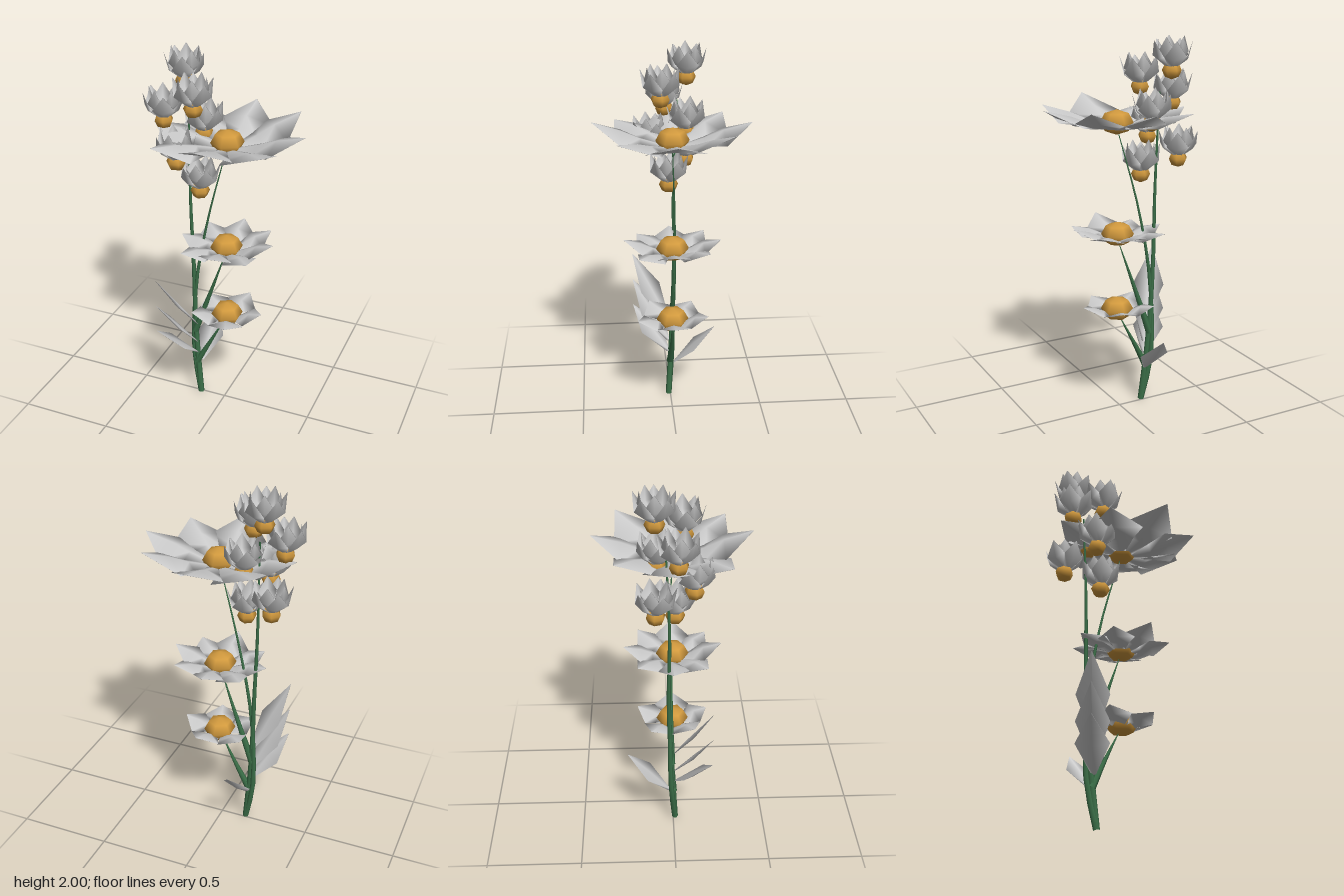
import * as THREE from 'three';

const grey = new THREE.MeshStandardMaterial({ color: 0xcccccc, side: THREE.DoubleSide });
const gold = new THREE.MeshStandardMaterial({ color: 0xd29a3e });
const green = new THREE.MeshStandardMaterial({ color: 0x3c7049 });
const V = (p) => new THREE.Vector3(...p);

function addMesh(parent, name, geometry, material) {
  const mesh = new THREE.Mesh(geometry, material);
  mesh.name = name;
  parent.add(mesh);
  return mesh;
}

// Thin solid blade along +x, lens-shaped in section, with normals rounded over the edges.
// Each row is [distance, height, halfWidth, edgeOffset, thickness]
function bladeGeometry(rows) {
  const pos = [], index = [];
  rows.forEach(([r, y, w, e, t], i) => {
    pos.push(r, y + e, -w, r, y + t, 0, r, y + e, w, r, y - t, 0);
    if (!i) return;
    for (let c = 0; c < 4; c++) {
      const a = (i - 1) * 4 + c, a2 = (i - 1) * 4 + (c + 1) % 4;
      index.push(a, a2, a + 4, a2, a2 + 4, a + 4);
    }
  });
  const g = new THREE.BufferGeometry();
  g.setAttribute('position', new THREE.Float32BufferAttribute(pos, 3));
  g.setIndex(index);
  g.computeVertexNormals();
  return g;
}

function heart(parent, name, rx, ry) {
  const ball = addMesh(parent, name, new THREE.SphereGeometry(1, 6, 4), gold);
  ball.rotation.y = Math.PI / 6;
  ball.scale.set(rx, ry, rx);
}

// Open flower: one petal per entry of lifts (tip rise), starting at +x and turning to +z
function openFlower(name, at, R, width, lifts) {
  const flower = new THREE.Group();
  flower.name = name;
  flower.position.set(...at);
  heart(flower, 'flowerHeart', 0.086, 0.065);
  lifts.forEach((lift, i) => {
    const petal = addMesh(flower, 'petal', bladeGeometry([
      [0.04, -0.03, 0.025, 0, 0.004],
      [R * 0.4, -0.01 + lift * 0.1, width * 0.57, -0.01, R * 0.03],
      [R * 0.64, lift * 0.4, width, -R * 0.06, R * 0.035],
      [R, lift, 0.002, 0, 0.001],
    ]), grey);
    petal.rotation.y = -i / lifts.length * Math.PI * 2;
  });
  return flower;
}

// Half-closed bud: outer and inner ring of cupped petals over a small ball
function bud(at, turn) {
  const group = new THREE.Group();
  group.name = 'bud';
  group.position.set(...at);
  group.rotation.y = turn;
  heart(group, 'budHeart', 0.05, 0.046);
  const rings = [
    [[0.028, 0.02, 0.02, 0, 0.003], [0.08, 0.065, 0.056, 0.008, 0.009], [0.104, 0.15, 0.002, 0, 0.001]],
    [[0.026, 0.036, 0.018, 0, 0.003], [0.068, 0.085, 0.048, 0.008, 0.008], [0.072, 0.168, 0.002, 0, 0.001]],
  ];
  rings.forEach((rows, k) => {
    const geometry = bladeGeometry(rows);
    for (let i = 0; i < 5; i++) {
      addMesh(group, 'budPetal', geometry, grey).rotation.y = (i + k / 2) / 5 * Math.PI * 2;
    }
  });
  return group;
}

// Tapered stem along a smooth path
function stem(name, points, r0, r1) {
  const curve = new THREE.CatmullRomCurve3(points.map(V));
  const rings = 12, sides = 6;
  const g = new THREE.TubeGeometry(curve, rings, 1, sides);
  const p = g.attributes.position, v = new THREE.Vector3();
  for (let i = 0; i < p.count; i++) {
    const t = Math.floor(i / (sides + 1)) / rings;
    const c = curve.getPointAt(t);
    v.fromBufferAttribute(p, i).sub(c).multiplyScalar(r0 + (r1 - r0) * t).add(c);
    p.setXYZ(i, v.x, v.y, v.z);
  }
  const mesh = new THREE.Mesh(g, green);
  mesh.name = name;
  return mesh;
}

// Kite-shaped leaf from base to tip
function leaf(base, tip, halfWidth) {
  const d = V(tip).sub(V(base));
  const L = Math.hypot(d.x, d.z);
  const mesh = new THREE.Mesh(bladeGeometry([
    [0, 0, 0.012, 0, 0.004],
    [L * 0.5, d.y * 0.47, halfWidth, 0.01, 0.016],
    [L, d.y, 0.002, 0, 0.001],
  ]), grey);
  mesh.name = 'leaf';
  mesh.position.set(...base);
  mesh.rotation.y = -Math.atan2(d.z, d.x);
  return mesh;
}

export function createModel() {
  const model = new THREE.Group();
  model.name = 'floweringPlant';

  // Open flowers, from top to bottom
  model.add(
    openFlower('topFlower', [0.016, 1.575, 0], 0.4, 0.15, [0.085, 0.07, 0.1, 0.03, 0.05, 0.06, 0.085, 0.1]),
    openFlower('middleFlower', [0.012, 0.985, 0], 0.255, 0.095, [0.055, 0.02, 0.055, 0.01, 0.02, 0.02, 0.04, 0.04]),
    openFlower('lowerFlower', [0.015, 0.57, 0], 0.197, 0.095, [0.035, 0.02, 0.03, 0.02, 0.035]),
  );

  // Main stems and flower stalks
  model.add(
    stem('mainStem', [[-0.14, 0, 0.01], [-0.175, 0.4, -0.01], [-0.19, 0.8, -0.025], [-0.2, 1.2, -0.02], [-0.21, 1.72, -0.04]], 0.017, 0.004),
    stem('secondStem', [[-0.14, 0, 0.01], [-0.188, 0.25, -0.012], [-0.175, 0.7, -0.02], [-0.1, 1.12, -0.02], [0.01, 1.53, 0]], 0.016, 0.002),
    stem('lowerFlowerStalk', [[-0.165, 0.2, 0], [-0.085, 0.355, -0.005], [0.005, 0.53, 0]], 0.02, 0.001),
    stem('middleFlowerStalk', [[-0.18, 0.4, -0.01], [-0.09, 0.66, -0.01], [0.01, 0.95, 0]], 0.02, 0.001),
  );

  // Bud cluster around the top of the main stem
  [
    [-0.25, 1.83, -0.09], [-0.145, 1.74, 0.05], [-0.32, 1.65, 0.02], [-0.145, 1.57, -0.08],
    [-0.22, 1.47, 0.1], [-0.295, 1.375, -0.09], [-0.13, 1.29, 0.01],
  ].forEach((at, i) => model.add(bud(at, i * 0.7)));

  // Stacked leaves on one side and a small leaf at the back
  for (const [low, high] of [[0.27, 0.49], [0.34, 0.65], [0.46, 0.81]]) {
    model.add(leaf([-0.16, low, 0.01], [-0.315, high, 0.2], 0.085));
  }
  model.add(leaf([-0.15, 0.2, -0.02], [-0.13, 0.43, -0.245], 0.08));
  return model;
}
